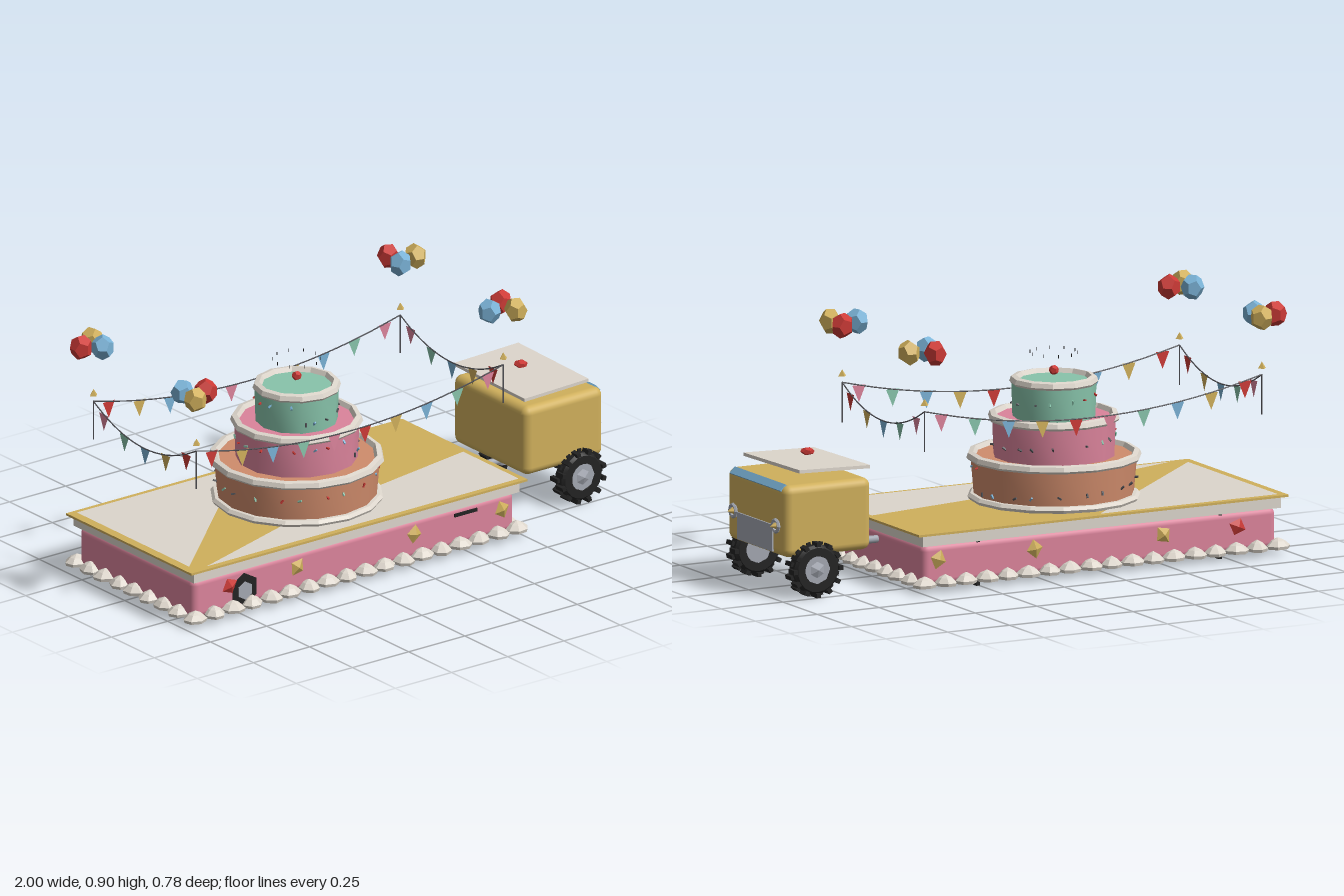
import * as THREE from 'three';
import { toCreasedNormals } from 'three/addons/utils/BufferGeometryUtils.js';
import { RoundedBoxGeometry } from 'three/addons/geometries/RoundedBoxGeometry.js';

const mat = (name, color, side = THREE.DoubleSide) => {
  const m = new THREE.MeshStandardMaterial({ color, side });
  m.name = name;
  return m;
};

export function createModel() {
  const root = new THREE.Group();
  root.name = 'cakeParadeFloat';
  const pink = mat('pink', 0xdc849c), cream = mat('cream', 0xddd6cc), gold = mat('gold', 0xd0b05c);
  const mint = mat('mint', 0x88c4ab), blue = mat('blue', 0x7ab2d6), red = mat('red', 0xcc3a36);
  const peach = mat('peach', 0xd08c6c), black = mat('black', 0x232323);
  const metal = mat('metal', 0xa4a8b2), dark = mat('darkGrey', 0x55555a);
  const bright = [red, gold, blue, mint, pink];

  const add = (name, geo, material, x = 0, y = 0, z = 0, parent = root) => {
    const m = new THREE.Mesh(geo, material);
    m.name = name;
    m.position.set(x, y, z);
    parent.add(m);
    return m;
  };
  const flat = (g) => {
    const n = g.index ? g.toNonIndexed() : g;
    n.computeVertexNormals();
    return n;
  };
  const lathe = (pts, seg) => new THREE.LatheGeometry(pts.map(([r, y]) => new THREE.Vector2(r, y)), seg);
  const box = (w, h, d) => new THREE.BoxGeometry(w, h, d);

  // Trailer: skirt, deck and gold edging
  const cx = -0.235;
  add('skirt', new RoundedBoxGeometry(1.43, 0.15, 0.67, 3, 0.025), pink, cx, 0.092, 0);
  add('deck', box(1.45, 0.04, 0.70), cream, cx, 0.185, 0);
  add('deckTrim', box(1.495, 0.008, 0.73), gold, cx, 0.209, 0);

  // Cream panels on the deck
  const panel = (pts) => {
    const g = new THREE.ShapeGeometry(new THREE.Shape(pts.map(([x, z]) => new THREE.Vector2(x, -z))));
    add('deckPanel', g.rotateX(-Math.PI / 2), cream, 0, 0.2145, 0);
  };
  panel([[-0.95, 0.31], [-0.23, -0.345], [-0.95, -0.345]]);
  panel([[-0.9, 0.345], [0.49, 0.345], [0.49, 0.02], [-0.4, 0.18]]);

  // Piped dollops around the bottom of the skirt
  const dollop = flat(lathe([[0.001, -0.014], [0.042, -0.012], [0.046, 0], [0.026, 0.018], [0.001, 0.03]], 7));
  const addDollop = (x, z, i) => {
    const d = add('icingDollop', dollop, cream, x, 0.03, z);
    d.rotation.y = i * 1.3;
    d.scale.set(1, 0.95, 0.85);
  };
  for (let i = 0; i < 18; i++) for (const s of [-1, 1]) addDollop(-0.95 + i * 1.43 / 17, s * 0.345, i);
  for (let i = 1; i < 8; i++) for (const x of [-0.955, 0.485]) addDollop(x, -0.345 + i * 0.69 / 8, i);

  // Diamond ornaments on both sides of the skirt
  const gem = flat(new THREE.OctahedronGeometry(0.036, 0));
  for (const s of [-1, 1]) {
    [[-0.79, red], [-0.49, gold], [0.03, gold], [0.42, gold]].forEach(([x, m], i) => {
      const g = add('skirtOrnament', gem, m, x, 0.112, s * 0.338);
      g.scale.set(1, 0.9, 0.4);
      g.rotation.z = 0.4 + i * 0.5;
    });
  }

  // Wheels with two staggered rows of tread lugs
  const tyre = toCreasedNormals(
    lathe([[0.05, -0.028], [0.08, -0.028], [0.09, -0.018], [0.09, 0.018], [0.08, 0.028], [0.05, 0.028]], 18)
      .rotateX(Math.PI / 2), 0.6);
  const hub = flat(new THREE.CylinderGeometry(0.052, 0.052, 0.05, 8).rotateX(Math.PI / 2));
  const cap = flat(new THREE.ConeGeometry(0.035, 0.014, 6).rotateX(Math.PI / 2));
  const wheel = (name, x, z, r, lugs) => {
    const w = new THREE.Group();
    w.name = name;
    w.position.set(x, r, z);
    w.scale.set(r / 0.1, r / 0.1, 1);
    add('tyre', tyre, black, 0, 0, 0, w);
    add('hub', hub, metal, 0, 0, 0, w);
    const c = add('hubCap', cap, metal, 0, 0, Math.sign(z) * 0.03, w);
    if (z < 0) c.rotation.y = Math.PI;
    for (let i = 0; i < lugs; i++) {
      const a = (i / lugs) * Math.PI * 2 - Math.PI / 2;
      const l = add('lug', box(0.016, 0.016, 0.042), black, Math.cos(a) * 0.092, Math.sin(a) * 0.092, i % 2 ? 0.014 : -0.014, w);
      l.rotation.z = a;
    }
    root.add(w);
  };
  for (const s of [-1, 1]) {
    wheel('tractorWheel', 0.855, s * 0.215, 0.1, 24);
    for (const x of [-0.725, 0.255]) wheel('trailerWheel', x, s * 0.295, 0.085, 12);
  }
  // Exposed wheel and axle cover on the front side
  add('exposedWheel', flat(new THREE.CylinderGeometry(0.06, 0.06, 0.008, 6).rotateX(Math.PI / 2)), black, -0.725, 0.085, 0.336);
  add('exposedHub', flat(new THREE.CylinderGeometry(0.034, 0.034, 0.008, 6).rotateX(Math.PI / 2)), metal, -0.725, 0.08, 0.34);
  add('axleCover', box(0.1, 0.012, 0.008), black, 0.26, 0.138, 0.336);

  // Cake tiers with icing rims
  const tier = (name, material, r0, r1, y0, y1, rimR, seg) => {
    add(name, toCreasedNormals(lathe([[0.001, y0], [r0, y0], [r1, y1], [0.001, y1]], seg), 0.7), material, cx, 0, 0);
    const w = 0.04;
    add(name + 'Rim', flat(lathe([[rimR - w, y1 - 0.012], [rimR - 0.006, y1 - 0.012], [rimR, y1 - 0.004],
      [rimR - 0.006, y1 + 0.012], [rimR - w * 0.6, y1 + 0.016], [rimR - w, y1 - 0.012]], seg)), cream, cx, 0, 0);
  };
  tier('bottomTier', peach, 0.284, 0.297, 0.213, 0.368, 0.312, 16);
  tier('middleTier', pink, 0.217, 0.222, 0.368, 0.508, 0.236, 14);
  tier('topTier', mint, 0.147, 0.151, 0.508, 0.638, 0.158, 12);
  add('cakeBaseIcing', flat(lathe([[0.27, 0.213], [0.302, 0.213], [0.308, 0.224], [0.298, 0.235], [0.27, 0.237]], 16)), cream, cx, 0, 0);

  // Sprinkles scattered by golden angle
  [[0.291, 0.25, 0.34, 22], [0.219, 0.4, 0.48, 18], [0.148, 0.54, 0.61, 14]].forEach(([r, y0, y1, n], t) => {
    for (let i = 0; i < n; i++) {
      const a = i * 2.4 + t;
      const s = add('sprinkle', box(0.006, 0.016, 0.006), [dark, red, dark, blue, mint][i % 5],
        cx + Math.cos(a) * r, y0 + (y1 - y0) * ((i * 0.618) % 1), Math.sin(a) * r);
      s.rotation.set(i, -a, i * 0.7);
    }
  });

  // Cherry and the ring of candle wicks
  const cherry = flat(new THREE.DodecahedronGeometry(0.018, 0));
  add('cherry', cherry, red, cx, 0.672, 0);
  for (let i = 0; i < 10; i++) {
    const a = (i / 10) * Math.PI * 2;
    add('candleWick', new THREE.CylinderGeometry(0.0015, 0.0015, 0.012, 5), black, cx + Math.cos(a) * 0.085, 0.737, Math.sin(a) * 0.085);
  }

  // Bunting: four posts, sagging strings and pennants
  const px = [-0.91, 0.455], pz = 0.3;
  const topper = flat(new THREE.ConeGeometry(0.016, 0.024, 4));
  for (const x of px) for (const z of [-pz, pz]) {
    add('buntingPost', new THREE.CylinderGeometry(0.0025, 0.0025, 0.145, 6), dark, x, 0.57, z);
    add('postTopper', topper, gold, x, 0.677, z);
  }
  const pennant = new THREE.ShapeGeometry(new THREE.Shape([[-0.027, 0], [0, -0.062], [0.027, 0]].map(([x, y]) => new THREE.Vector2(x, y))));
  const bunting = (a, b, sag, count, turn) => {
    const at = (t) => new THREE.Vector3().lerpVectors(a, b, t).setY(0.642 - sag * 4 * t * (1 - t));
    const curve = new THREE.CatmullRomCurve3(Array.from({ length: 11 }, (_, i) => at(i / 10)));
    add('buntingString', new THREE.TubeGeometry(curve, 20, 0.0025, 5), dark);
    for (let i = 0; i < count; i++) {
      const p = at((i + 0.5) / count);
      add('pennant', pennant, bright[i % 5], p.x, p.y, p.z).rotation.y = turn;
    }
  };
  const v = (x, z) => new THREE.Vector3(x, 0, z);
  for (const z of [-pz, pz]) bunting(v(px[0], z), v(px[1], z), 0.088, 10, 0);
  for (const x of px) bunting(v(x, pz), v(x, -pz), 0.086, 5, Math.PI / 2);

  // Balloon clusters above the corners
  const balloon = flat(new THREE.DodecahedronGeometry(0.042, 0));
  [[-0.961, -0.305, red], [-0.9, -0.26, blue], [-0.885, -0.342, gold],
    [0.435, -0.342, red], [0.425, -0.26, blue], [0.51, -0.285, gold],
    [-0.935, 0.25, blue], [-0.945, 0.34, gold], [-0.865, 0.295, red],
    [0.398, 0.295, blue], [0.48, 0.34, gold], [0.482, 0.25, red]].forEach(([x, z, m], i) => {
    const b = add('balloon', balloon, m, x, 0.858, z);
    b.scale.y = 1.12;
    b.rotation.y = i * 0.9;
  });

  // Tractor cab, roof and hitch
  add('cab', new RoundedBoxGeometry(0.352, 0.26, 0.43, 3, 0.03), gold, 0.795, 0.275, 0);
  const roof = add('roof', box(0.285, 0.012, 0.41), cream, 0.765, 0.444, 0);
  roof.rotation.set(0.02, 0, 0.03);
  add('roofBeacon', cherry, red, 0.762, 0.477, 0).scale.set(1.4, 0.8, 1.4);
  add('windshield', box(0.008, 0.03, 0.37), blue, 0.961, 0.395, 0).rotation.z = Math.PI / 4;
  add('grille', box(0.009, 0.097, 0.256), metal, 0.972, 0.207, 0);
  add('hitch', new THREE.CylinderGeometry(0.014, 0.014, 0.26, 8).rotateZ(Math.PI / 2), metal, 0.575, 0.133, 0);
  add('towBar', new THREE.CylinderGeometry(0.026, 0.026, 0.03, 8), metal, 0.68, 0.135, 0);

  // Headlights
  const bezel = flat(new THREE.TorusGeometry(0.022, 0.007, 5, 8).rotateY(Math.PI / 2));
  const lamp = flat(new THREE.ConeGeometry(0.017, 0.03, 6).rotateZ(-Math.PI / 2));
  for (const s of [-1, 1]) {
    add('headlightRim', bezel, metal, 0.977, 0.256, s * 0.155);
    add('headlightLamp', lamp, gold, 0.985, 0.256, s * 0.155);
  }
  return root;
}
